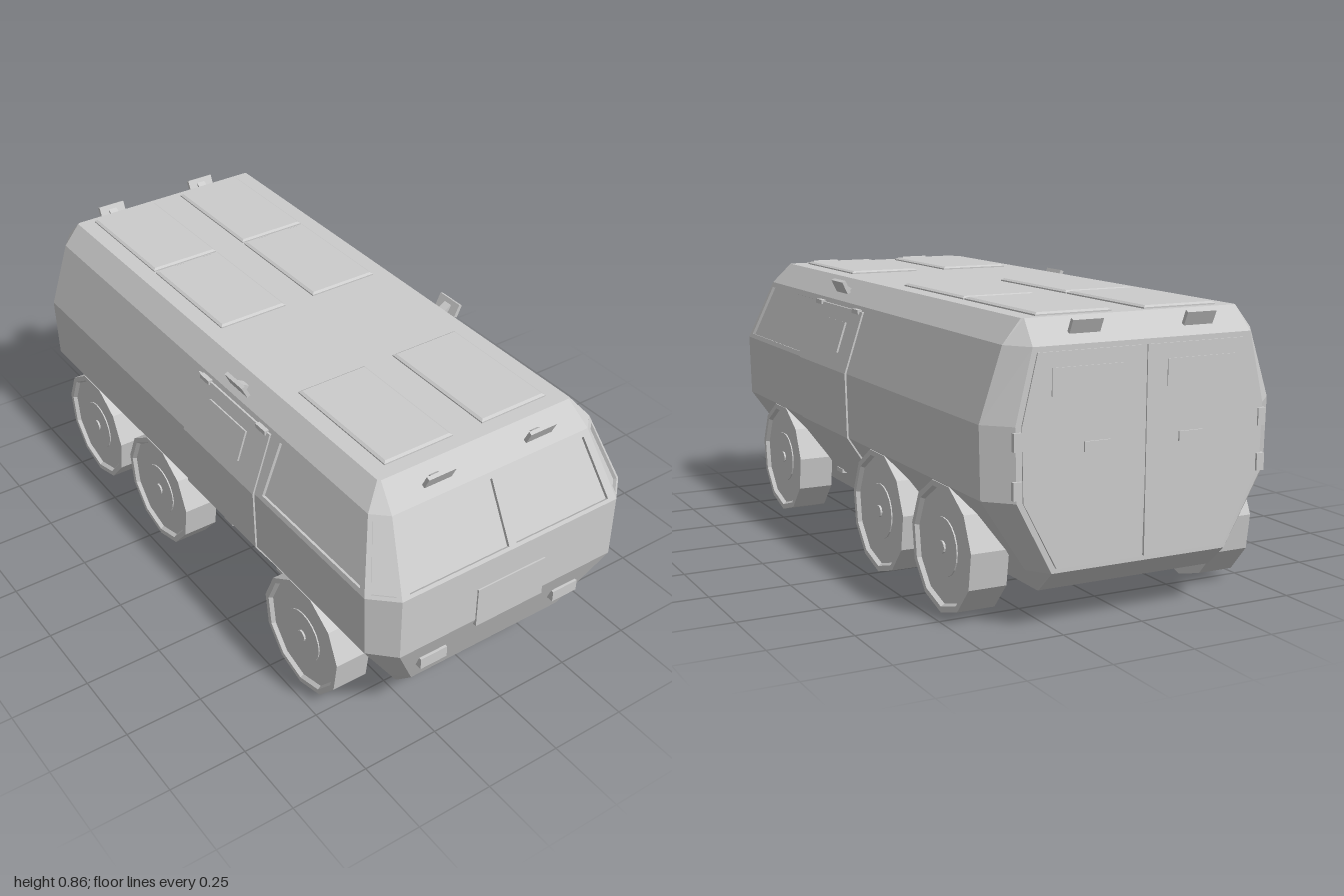
import * as THREE from 'three';

const mat = new THREE.MeshStandardMaterial({ color: 0xcccccc, flatShading: true });
const V = (x, y, z) => new THREE.Vector3(x, y, z);

function add(parent, name, geometry, x = 0, y = 0, z = 0, rx = 0, ry = 0, rz = 0) {
  const m = new THREE.Mesh(geometry, mat);
  m.name = name;
  m.position.set(x, y, z);
  m.rotation.set(rx, ry, rz);
  parent.add(m);
  return m;
}
const box = (w, h, d) => new THREE.BoxGeometry(w, h, d);
const shapeOf = pts => new THREE.Shape(pts.map(p => new THREE.Vector2(p[0], p[1])));

function fromTriangles(points) {
  const g = new THREE.BufferGeometry().setFromPoints(points);
  g.computeVertexNormals();
  return g;
}
const quad = (a, b, c, d) => [a, b, c, a, c, d];

// Hull levels: height, half width, front z, front half width, side front z, back z, back half width, side back z
const LEVELS = [
  [0.105, 0.283, 0.85, 0.28, 0.845, -0.915, 0.28, -0.91],
  [0.17, 0.325, 0.915, 0.28, 0.87, -0.985, 0.28, -0.92],
  [0.375, 0.46, 0.995, 0.39, 0.925, -0.99, 0.39, -0.92],
  [0.58, 0.465, 0.995, 0.39, 0.925, -0.99, 0.395, -0.92],
  [0.785, 0.397, 0.885, 0.35, 0.841, -0.99, 0.345, -0.92],
  [0.852, 0.342, 0.812, 0.335, 0.805, -0.925, 0.335, -0.92],
];
const ring = ([y, w, zf, xf, zs, zb, xb, zt]) => {
  const half = [[xf, zf], [w, zs], [w, zt], [xb, zb]];
  return [...half.map(([x, z]) => V(x, y, z)), ...half.reverse().map(([x, z]) => V(-x, y, z))];
};

// Flat wall with recessed windows; window corners are fractions across and up the wall
function windowWall(group, name, [a, b, c, d], windows) {
  const u = b.clone().sub(a).normalize();
  const n = u.clone().cross(d.clone().sub(a)).normalize();
  const v = n.clone().cross(u);
  const flat = p => { const q = p.clone().sub(a); return [q.dot(u), q.dot(v)]; };
  const shape = shapeOf([a, b, c, d].map(flat));
  const depth = 0.01, reveal = [];
  const basis = new THREE.Matrix4().makeBasis(u, v, n).setPosition(a);
  for (const win of windows) {
    const pts = win.map(([s, t]) => flat(a.clone().lerp(b, s).lerp(d.clone().lerp(c, s), t)));
    const hole = shapeOf(pts);
    shape.holes.push(hole);
    add(group, name + 'Pane', new THREE.ShapeGeometry(hole).translate(0, 0, -depth).applyMatrix4(basis));
    pts.forEach((p, i) => {
      const q = pts[(i + 1) % pts.length];
      reveal.push(...quad(V(...p, 0), V(...q, 0), V(...q, -depth), V(...p, -depth)));
    });
  }
  add(group, name + 'Wall', new THREE.ShapeGeometry(shape).applyMatrix4(basis));
  add(group, name + 'Reveal', fromTriangles(reveal).applyMatrix4(basis));
}

function buildHull() {
  const hull = new THREE.Group();
  hull.name = 'hull';
  const rect = (s0, s1) => [[s0, 0.05], [s1, 0.05], [s1, 0.92], [s0, 0.92]];
  const side = [[0.012, 0.07], [0.274, 0.07], [0.239, 0.92], [0.01, 0.92]];
  const mirrored = side.map(([s, t]) => [1 - s, t]).reverse();
  const glazed = {
    7: ['windshield', [rect(0.035, 0.483), rect(0.517, 0.965)]],
    0: ['leftCornerWindow', [rect(0.15, 0.82)]],
    6: ['rightCornerWindow', [rect(0.18, 0.85)]],
    1: ['leftCabWindow', [side]],
    5: ['rightCabWindow', [mirrored]],
  };
  const rings = LEVELS.map(ring), tris = [];
  for (let l = 0; l < rings.length - 1; l++) {
    for (let i = 0; i < 8; i++) {
      const j = (i + 1) % 8;
      const face = [rings[l][i], rings[l][j], rings[l + 1][j], rings[l + 1][i]];
      if (l === 3 && glazed[i]) windowWall(hull, glazed[i][0], face, glazed[i][1]);
      else tris.push(...quad(...face));
    }
  }
  const top = rings[rings.length - 1], bottom = rings[0];
  for (let i = 1; i < 7; i++) tris.push(top[0], top[i], top[i + 1], bottom[0], bottom[i + 1], bottom[i]);
  add(hull, 'hullShell', fromTriangles(tris));
  return hull;
}

function buildWheel(s, z) {
  const wheel = new THREE.Group();
  wheel.name = 'wheel';
  const profile = [[0, -0.058], [0.19, -0.058], [0.19, 0.058], [0.173, 0.058], [0.166, 0.046], [0, 0.046]];
  const tyre = new THREE.LatheGeometry(profile.map(p => new THREE.Vector2(...p)), 11, Math.PI / 2);
  add(wheel, 'tyre', tyre.rotateZ(-Math.PI / 2));
  add(wheel, 'hubDisc', new THREE.CylinderGeometry(0.085, 0.085, 0.006, 20).rotateZ(-Math.PI / 2), 0.047);
  add(wheel, 'hubCap', new THREE.CylinderGeometry(0.018, 0.018, 0.012, 10).rotateZ(-Math.PI / 2), 0.05);
  wheel.position.set(s * 0.403, 0.19, z);
  wheel.rotation.y = s > 0 ? 0 : Math.PI;
  return wheel;
}

// Tilted lamp on a short stem, facing local +z
function buildLamp(x, z, turn) {
  const lamp = new THREE.Group();
  lamp.name = 'roofLamp';
  add(lamp, 'lampPlate', box(0.094, 0.042, 0.012), 0, 0, 0, 0.45);
  add(lamp, 'lampStem', box(0.03, 0.012, 0.045), 0, -0.008, -0.02, -0.5);
  lamp.position.set(x, 0.832, z);
  lamp.rotation.y = turn;
  return lamp;
}

function buildSideDoor(s) {
  const door = new THREE.Group();
  door.name = 'sideDoor';
  // Panel follows the folded hull side
  const line = [[0.336, 0.185], [0.46, 0.375], [0.465, 0.58], [0.402, 0.77]];
  const outline = [...line.map(([x, y]) => [s * (x + 0.006), y]), ...line.reverse().map(([x, y]) => [s * (x - 0.01), y])];
  add(door, 'doorPanel', new THREE.ExtrudeGeometry(shapeOf(outline), { depth: 0.395, bevelEnabled: false }), 0, 0, -0.015);
  add(door, 'doorHatch', box(0.014, 0.1, 0.2), s * 0.437, 0.68, 0.18, 0, 0, s * 0.32);
  for (const z of [0.03, 0.34]) {
    add(door, 'upperHinge', box(0.018, 0.014, 0.05), s * 0.406, 0.768, z);
    add(door, 'lowerHinge', box(0.018, 0.014, 0.05), s * 0.342, 0.187, z);
  }
  return door;
}

function buildRearDoor(s) {
  const door = new THREE.Group();
  door.name = 'rearDoor';
  const outline = [[0.006, 0.185], [0.27, 0.185], [0.372, 0.375], [0.377, 0.58], [0.332, 0.77], [0.006, 0.77]];
  const panel = new THREE.ExtrudeGeometry(shapeOf(outline.map(([x, y]) => [s * x, y])), { depth: 0.008, bevelEnabled: false });
  add(door, 'doorPanel', panel, 0, 0, -0.994);
  add(door, 'doorWindow', box(0.22, 0.075, 0.006), s * 0.18, 0.69, -0.994);
  add(door, 'doorHandle', box(0.08, 0.028, 0.008), s * 0.15, 0.51, -0.995);
  for (const y of [0.41, 0.54]) add(door, 'doorHinge', box(0.025, 0.05, 0.014), s * 0.39, y, -0.99);
  return door;
}

// Roof hatch with bevelled rim
function hatchGeometry(w, d) {
  const x = w / 2 - 0.008, z = d / 2 - 0.008;
  const g = new THREE.ExtrudeGeometry(shapeOf([[-x, -z], [x, -z], [x, z], [-x, z]]),
    { depth: 0.004, bevelSize: 0.008, bevelThickness: 0.005, bevelSegments: 1 });
  return g.rotateX(-Math.PI / 2);
}

export function createModel() {
  const model = new THREE.Group();
  model.name = 'sixWheeledVan';
  model.add(buildHull());

  for (const s of [1, -1]) {
    for (const z of [0.61, -0.24, -0.68]) model.add(buildWheel(s, z));
    for (const [z0, z1] of [[-0.9, -0.487], [-0.477, -0.07], [0.35, 0.765]]) {
      add(model, 'roofHatch', hatchGeometry(0.236, z1 - z0), s * 0.17, 0.852, (z0 + z1) / 2);
    }
    model.add(buildSideDoor(s), buildRearDoor(s));
    model.add(buildLamp(s * 0.18, 0.868, 0), buildLamp(s * 0.18, -0.978, Math.PI), buildLamp(s * 0.395, 0.19, s * Math.PI / 2));
    add(model, 'headlight', box(0.094, 0.037, 0.03), s * 0.248, 0.278, 0.958);
  }
  add(model, 'frontPlate', box(0.246, 0.135, 0.012), 0, 0.422, 0.994);
  return model;
}
